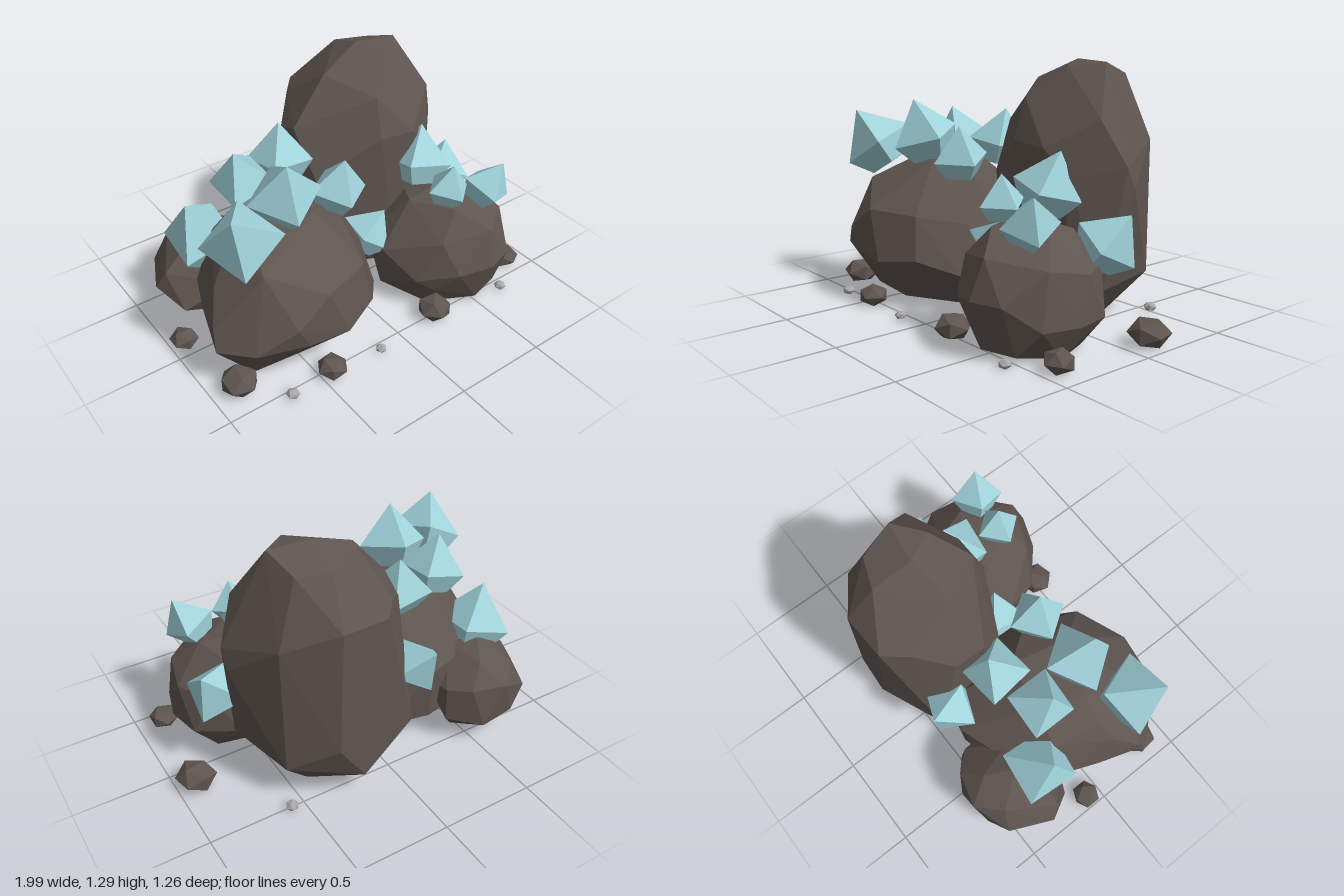
import * as THREE from 'three';
import { ConvexGeometry } from 'three/addons/geometries/ConvexGeometry.js';

const material = (name, color) => {
  const m = new THREE.MeshStandardMaterial({ color });
  m.name = name;
  return m;
};

// Corner points [x, y, z] of each faceted boulder, from top to base
const tallBoulder = [
  [.28, 1.29, -.25], [.5, 1.28, -.22], [.3, 1.22, -.46], [.46, 1.22, -.4],
  [.04, 1.19, -.2], [.2, 1.11, .03], [.36, 1.26, -.1], [.4, .88, .09], [.19, .9, .09],
  [.62, 1.02, -.07], [.53, .75, .05], [.72, .8, -.15], [.72, .7, -.2],
  [-.16, .96, -.18], [-.14, .9, -.33], [0, 1, -.48], [.1, 1, -.6], [.34, 1, -.61], [.58, .9, -.46],
  [-.12, .7, -.05], [-.16, .5, -.14], [-.16, .25, -.4], [-.155, .23, -.48], [.22, .14, -.62], [.36, .35, -.62],
  [.57, .22, -.47], [.65, .21, -.07], [.5, .25, .04], [.3, .25, .07], [0, .3, 0],
  [.1, .03, -.1], [.25, 0, -.3], [.4, 0, -.36], [.5, 0, -.1], [.33, 0, -.04],
];
const wideBoulder = [
  [-.6, .75, .1], [-.32, .75, .22], [-.5, .74, -.12], [-.25, .74, -.08], [-.12, .67, .1],
  [-.7, .63, .36], [-.75, .61, .1], [-.68, .58, -.15], [-.84, .49, .14],
  [-.45, .51, .53], [-.18, .5, .43], [-.63, .39, .54],
  [-.03, .45, .2], [-.15, .5, -.35], [-.3, .45, -.45], [-.52, .42, -.37],
  [-.92, .35, .25], [-.94, .25, .3], [-.86, .3, .03], [-.78, .3, -.17],
  [-.81, .26, .45], [-.57, .27, .54], [-.35, .25, .55], [-.14, .28, .46], [.01, .2, .28],
  [.1, .12, .1], [.08, .2, -.1], [-.05, .15, -.38], [-.3, .15, -.43], [-.55, .12, -.36],
  [-.86, .1, .2], [-.75, .01, .3], [-.45, 0, .32], [-.15, 0, .16], [0, .05, .06],
  [-.1, 0, -.2], [-.4, 0, -.27], [-.7, .02, -.05],
];
const frontBoulder = [
  [.5, .58, .2], [.3, .55, .2], [.42, .56, .42], [.66, .55, .28], [.6, .53, .08], [.4, .52, .03],
  [.55, .46, .57], [.3, .42, .48], [.78, .42, .4], [.83, .38, .2], [.72, .38, .02],
  [.11, .32, .22], [.15, .32, .03], [.4, .33, -.04], [.52, .27, .63], [.68, .27, .58],
  [.35, .25, .57], [.18, .2, .42], [.27, .13, .47], [.85, .16, .27], [.8, .16, .45], [.81, .16, .08],
  [.6, .15, -.03], [.3, .1, -.03], [.12, .09, .2], [.28, 0, .4], [.5, .03, .55],
  [.68, .03, .5], [.76, 0, .3], [.68, 0, .1], [.4, 0, .04], [.24, 0, .15],
];
const backBoulder = [
  [-.64, .5, -.36], [-.5, .46, -.3], [-.75, .46, -.28], [-.56, .44, -.5], [-.76, .38, -.52],
  [-.9, .32, -.28], [-.64, .34, -.63], [-.46, .34, -.58], [-.37, .32, -.48], [-.36, .3, -.3],
  [-.94, .22, -.33], [-.84, .22, -.55], [-.72, .13, -.6], [-.52, .12, -.62], [-.36, .15, -.5],
  [-.86, .12, -.18], [-.62, .25, -.08], [-.78, .02, -.4], [-.6, 0, -.5], [-.46, .02, -.42], [-.6, 0, -.2],
];

// Crystals: centre, direction of the tip, turn in degrees, radius
const crystals = [
  [[-.7, .5, -.25], [-.3, .9, .08], 40, .2],
  [[-.51, .82, -.11], [-.25, .9, .1], 45, .17],
  [[-.25, .82, -.18], [.1, .95, -.15], 50, .17],
  [[-.75, .805, .28], [-.42, .85, .4], 60, .198],
  [[-.45, .865, .17], [-.1, .95, .3], -12, .187],
  [[-.14, .78, .17], [.12, .95, .15], -10, .153],
  [[.08, .38, .12], [.6, .75, .15], 40, .142],
  [[.44, .69, .1], [.23, .9, -.2], 35, .175],
  [[.42, .66, .36], [.1, .95, .1], -5, .122],
  [[.66, .6, .4], [.4, .85, .25], -25, .14],
  [[.715, .455, -.02], [.5, .8, -.35], 35, .165],
  [[-.19, .53, -.43], [-.2, .65, -.65], 18, .155],
];

// Loose stones: x, z, radius
const pebbles = [
  [-.93, -.08, .075], [-.86, .35, .1], [-.44, .53, .08],
  [.24, .51, .095], [.86, .41, .08], [.9, -.12, .105],
];
const chips = [[-.68, .54, .035], [-.15, .55, .03], [.68, .56, .033], [.57, -.51, .035]];

// Four-sided tip over a tapered foot, for a radius of 1
const crystalProfile = [[0, -.62], [.6, -.62], [1, 0], [0, 1.13]].map((p) => new THREE.Vector2(...p));

export function createModel() {
  const model = new THREE.Group();
  const rock = material('dark brown rock', 0x5f5550);
  const ice = material('pale blue crystal', 0xa0d2da);
  const grey = material('light grey stone', 0xa8a8a8);
  for (const m of [rock, ice, grey]) m.flatShading = true;

  const add = (name, geometry, mat) => {
    const mesh = new THREE.Mesh(geometry, mat);
    mesh.name = name;
    model.add(mesh);
    return mesh;
  };

  // Boulders as faceted hulls
  const boulders = { tallBoulder, wideBoulder, frontBoulder, backBoulder };
  for (const [name, points] of Object.entries(boulders)) {
    add(name, new ConvexGeometry(points.map((p) => new THREE.Vector3(...p))), rock);
  }

  // Crystals half sunk in the boulders
  const up = new THREE.Vector3(0, 1, 0);
  const crystal = new THREE.LatheGeometry(crystalProfile, 4);
  crystals.forEach(([centre, tip, turn, radius], i) => {
    const mesh = add(`crystal${i + 1}`, crystal, ice);
    mesh.scale.setScalar(radius);
    mesh.position.set(...centre);
    mesh.quaternion.setFromUnitVectors(up, new THREE.Vector3(...tip).normalize());
    mesh.rotateY(THREE.MathUtils.degToRad(turn));
  });

  // Flattened loose stones resting on the ground
  const scatter = (name, list, mat) => list.forEach(([x, z, r], i) => {
    const stone = new THREE.IcosahedronGeometry(r).rotateY(i * 1.3).scale(1, .72, 1);
    stone.computeBoundingBox();
    add(`${name}${i + 1}`, stone, mat).position.set(x, -stone.boundingBox.min.y, z);
  });
  scatter('pebble', pebbles, rock);
  scatter('chip', chips, grey);

  return model;
}
